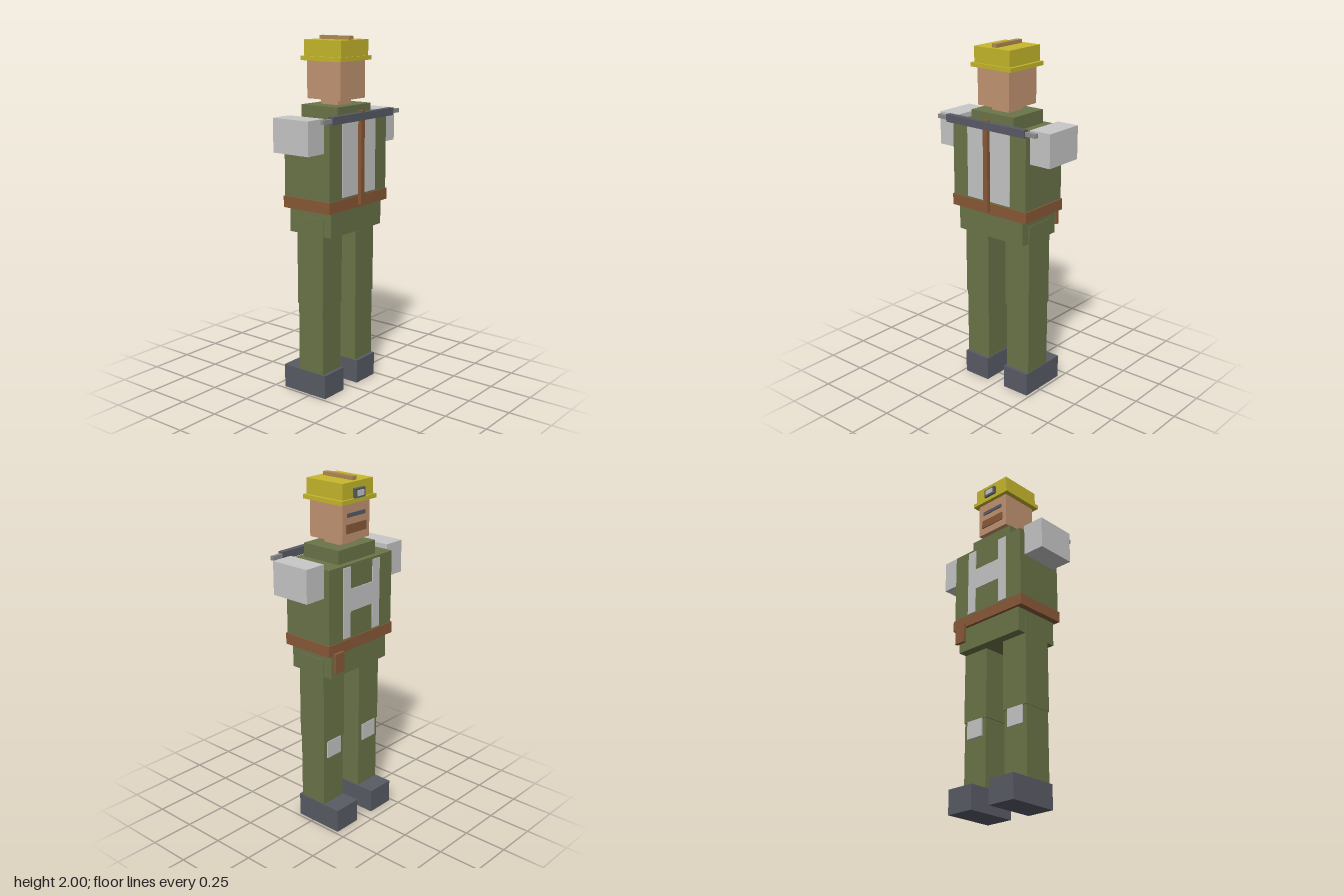
import * as THREE from 'three';

const mat = (name, color) => Object.assign(new THREE.MeshStandardMaterial({ color }), { name });

export function createModel() {
  const model = new THREE.Group();
  model.name = 'miner';

  const olive = mat('olive cloth', 0x6b7549);
  const pale = mat('pale grey', 0xc8c8c8);
  const brown = mat('brown leather', 0x8a5a38);
  const skin = mat('skin', 0xc49673);
  const yellow = mat('helmet yellow', 0xc8b92c);
  const dark = mat('dark slate', 0x5a5c66);
  const steel = mat('steel', 0x8f8f90);
  const tan = mat('tan ridge', 0xb08d4e);

  // Box given by its extents along each axis
  const box = (name, material, [x0, x1], [y0, y1], [z0, z1]) => {
    const mesh = new THREE.Mesh(new THREE.BoxGeometry(x1 - x0, y1 - y0, z1 - z0), material);
    mesh.position.set((x0 + x1) / 2, (y0 + y1) / 2, (z0 + z1) / 2);
    mesh.name = name;
    model.add(mesh);
  };
  // Same box on both sides of the body
  const pair = (name, material, [x0, x1], y, z) => {
    box('left' + name, material, [x0, x1], y, z);
    box('right' + name, material, [-x1, -x0], y, z);
  };
  const sym = (h) => [-h, h];

  // Legs
  pair('Boot', dark, [0.063, 0.232], [0, 0.137], [-0.193, 0.104]);
  pair('LowerLeg', olive, [0.069, 0.228], [0.137, 0.53], sym(0.085));
  pair('UpperLeg', olive, [0.064, 0.231], [0.53, 1.034], sym(0.09));
  pair('KneePatch', pale, [0.095, 0.203], [0.43, 0.532], [-0.094, -0.085]);

  // Trunk
  box('hips', olive, sym(0.227), [0.937, 1.077], sym(0.143));
  box('belt', brown, sym(0.262), [1.077, 1.141], sym(0.16));
  box('beltPouch', brown, [0.159, 0.227], [0.98, 1.09], [-0.177, -0.159]);
  box('torso', olive, sym(0.255), [1.141, 1.558], sym(0.155));
  box('collar', olive, sym(0.148), [1.558, 1.634], sym(0.124));
  pair('Sleeve', pale, [0.255, 0.385], [1.4, 1.585], sym(0.12));

  // Vest panels
  box('vestBack', pale, sym(0.148), [1.15, 1.557], [0.155, 0.16]);
  pair('VestStrap', pale, [0.09, 0.148], [1.15, 1.545], [-0.16, -0.155]);
  box('vestBar', pale, sym(0.09), [1.295, 1.42], [-0.16, -0.155]);

  // Head
  box('neck', skin, sym(0.058), [1.634, 1.664], sym(0.058));
  box('head', skin, sym(0.108), [1.664, 1.87], sym(0.115));
  box('eyeBand', dark, sym(0.072), [1.795, 1.816], [-0.12, -0.115]);
  box('beard', brown, sym(0.08), [1.708, 1.757], [-0.12, -0.115]);

  // Helmet with lamp
  box('helmetBrim', yellow, sym(0.137), [1.87, 1.893], sym(0.137));
  box('helmetDome', yellow, sym(0.12), [1.893, 1.98], sym(0.127));
  box('helmetRidge', tan, sym(0.016), [1.98, 2], sym(0.104));
  box('lampCase', dark, sym(0.039), [1.895, 1.945], [-0.145, -0.127]);
  box('lampLens', pale, sym(0.026), [1.905, 1.935], [-0.15, -0.145]);

  // Pickaxe slung behind
  box('pickHandle', brown, sym(0.015), [1.093, 1.608], [0.163, 0.185]);
  box('pickHead', dark, sym(0.272), [1.558, 1.6], [0.16, 0.192]);
  pair('PickTip', steel, [0.272, 0.34], [1.567, 1.59], [0.164, 0.185]);

  return model;
}
